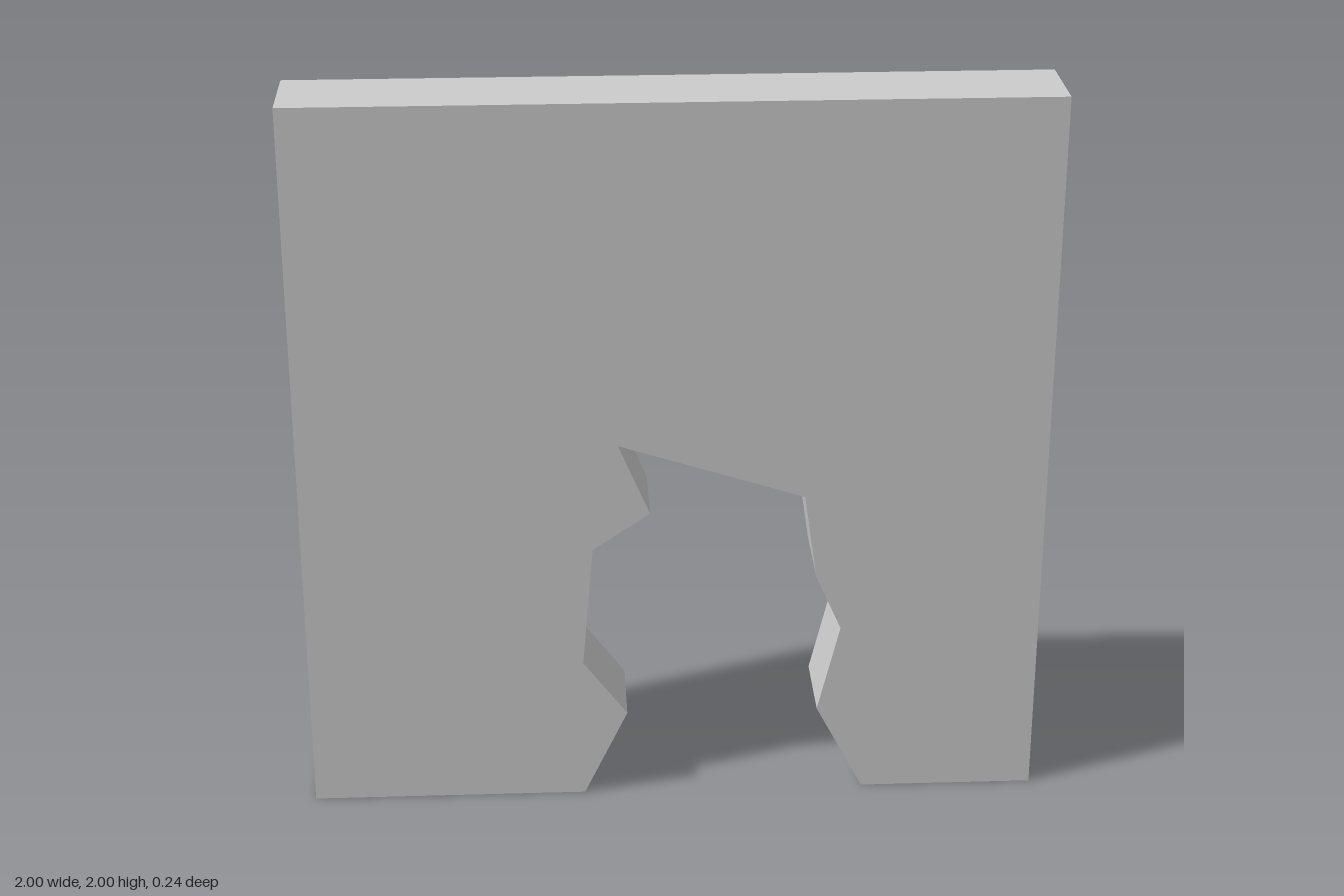
import * as THREE from 'three';

const DEPTH = 0.24;

// Ragged edge of the breach, from the left foot over the top to the right foot
const BREACH = [
  [-0.25, 0], [-0.13, 0.25], [-0.25, 0.41], [-0.22, 0.755], [-0.065, 0.86], [-0.15, 1.06],
  [0.35, 0.9], [0.385, 0.66], [0.455, 0.5], [0.395, 0.25], [0.525, 0],
];

export function createModel() {
  const group = new THREE.Group();
  group.name = 'brokenWall';

  // Wall outline with the breach cut up from its base
  const outline = [[-1, 0], ...BREACH, [1, 0], [1, 2], [-1, 2]];
  const shape = new THREE.Shape(outline.map(([x, y]) => new THREE.Vector2(x, y)));

  const geometry = new THREE.ExtrudeGeometry(shape, { depth: DEPTH, bevelEnabled: false });
  geometry.translate(0, 0, -DEPTH / 2);

  const wall = new THREE.Mesh(
    geometry,
    new THREE.MeshStandardMaterial({ color: 0xcccccc, flatShading: true })
  );
  wall.name = 'wall';
  group.add(wall);
  return group;
}
